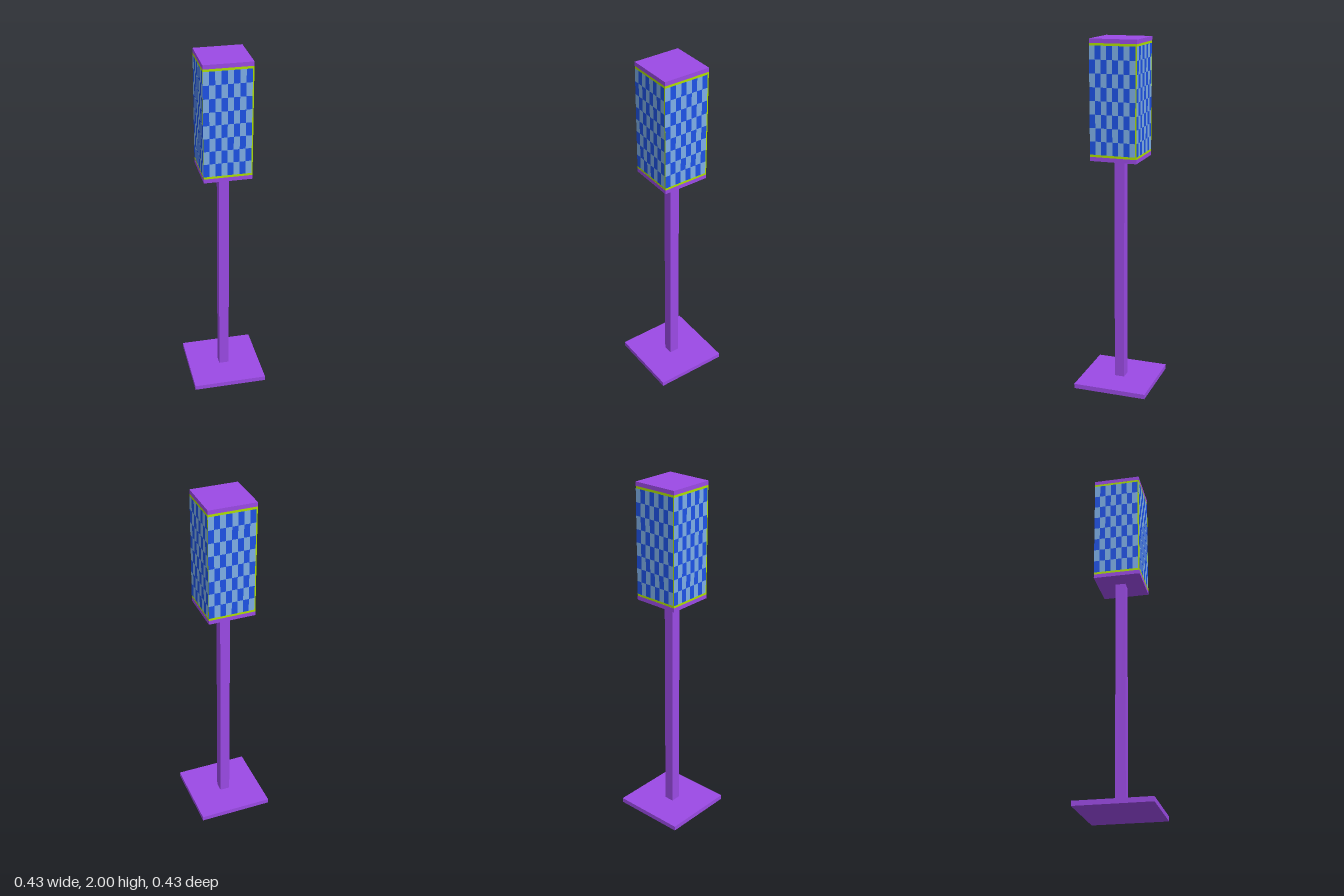
import * as THREE from 'three';

const mat = (name, color) => {
  const m = new THREE.MeshStandardMaterial({ color });
  m.name = name;
  return m;
};

export function createModel() {
  const lamp = new THREE.Group();
  lamp.name = 'floorLamp';
  const purple = mat('purple', 0x9b4ae5);
  const lime = mat('lime', 0xaee000);
  const lightBlue = mat('lightBlue', 0x7eafe8);
  const darkBlue = mat('darkBlue', 0x1e54ec);

  // Square box between two heights
  const block = (name, width, y0, y1, material) => {
    const mesh = new THREE.Mesh(new THREE.BoxGeometry(width, y1 - y0, width), material);
    mesh.position.y = (y0 + y1) / 2;
    mesh.name = name;
    lamp.add(mesh);
  };
  block('base', 0.428, 0, 0.027, purple);
  block('pole', 0.058, 0.027, 1.34, purple);
  block('shadeBottom', 0.267, 1.34, 1.363, purple);
  block('shadeTrim', 0.2664, 1.363, 1.977, lime);
  block('shadeTop', 0.267, 1.977, 2, purple);

  // Checkered panel, leaving a trim strip above, below and on its right edge
  const cols = 8, rows = 8, y0 = 1.376, y1 = 1.964, left = -0.1335, right = 0.126;
  const panel = new THREE.PlaneGeometry(right - left, y1 - y0, cols, rows);
  panel.translate((left + right) / 2, (y0 + y1) / 2, 0.1337);
  panel.clearGroups();
  for (let r = 0; r < rows; r++) {
    for (let c = 0; c < cols; c++) panel.addGroup((r * cols + c) * 6, 6, (r + c) % 2);
  }
  ['front', 'left', 'back', 'right'].forEach((side, i) => {
    const mesh = new THREE.Mesh(panel, [lightBlue, darkBlue]);
    mesh.rotation.y = i * Math.PI / 2;
    mesh.name = side + 'ShadePanel';
    lamp.add(mesh);
  });
  return lamp;
}
